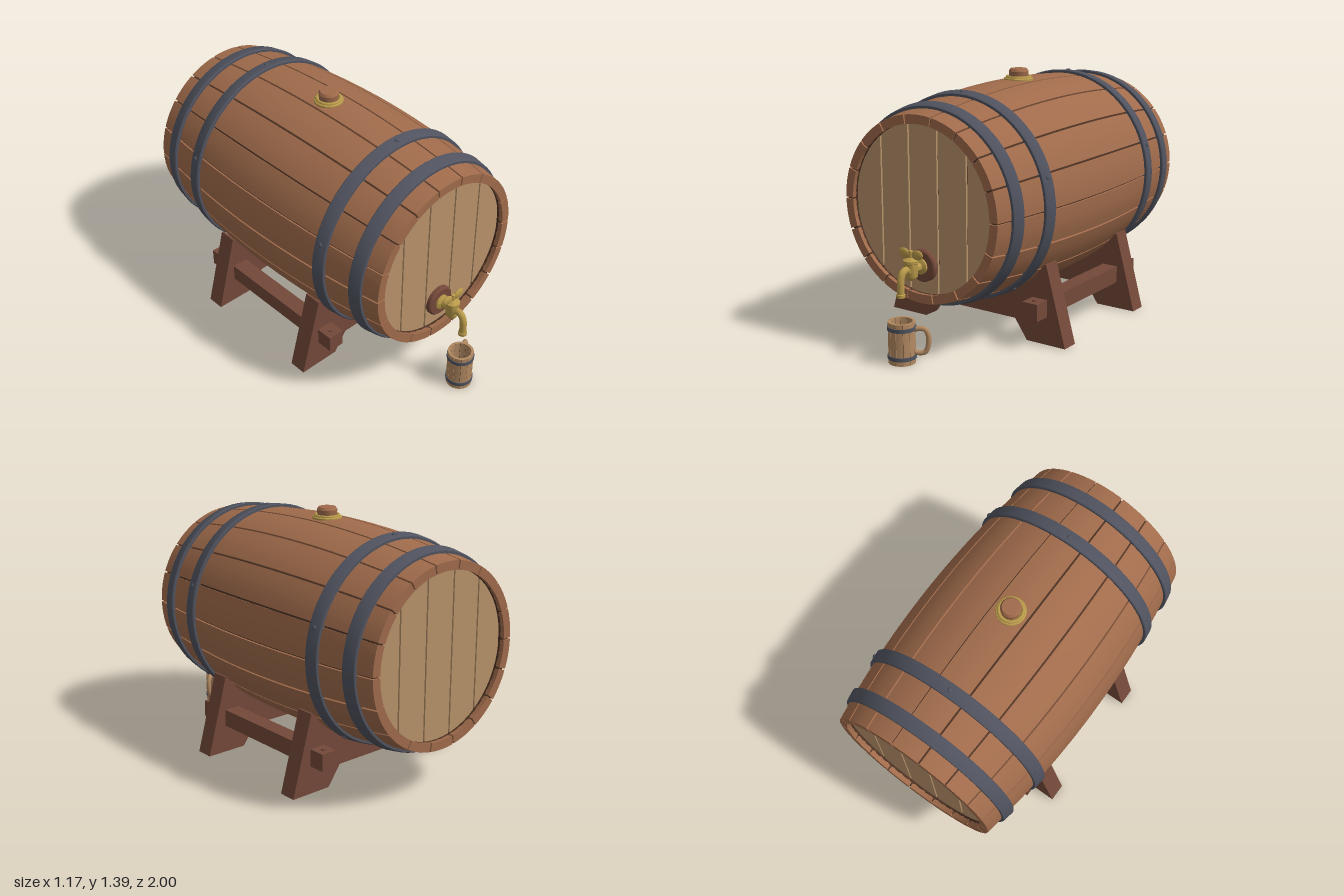
import * as THREE from 'three';
import { toCreasedNormals } from 'three/addons/utils/BufferGeometryUtils.js';

const AXIS_Y = 0.763, MID_Z = -0.1125, HALF = 0.8875;
const barrelRadius = (d) => 0.566 - 0.076 * (d / HALF) ** 2;

function material(name, color) {
  const m = new THREE.MeshStandardMaterial({ color });
  m.name = name;
  return m;
}

function add(parent, name, geometry, mat, x = 0, y = 0, z = 0) {
  const mesh = new THREE.Mesh(geometry, mat);
  mesh.name = name;
  mesh.position.set(x, y, z);
  parent.add(mesh);
  return mesh;
}

// Box bent around the z axis: x becomes angle, y becomes radius
function bentBox(angle, span, inner, outer, length, segA, segZ) {
  const g = new THREE.BoxGeometry(1, 1, 1, segA, 1, segZ);
  const p = g.attributes.position;
  for (let i = 0; i < p.count; i++) {
    const a = angle + p.getX(i) * span;
    const z = p.getZ(i) * length;
    const r = p.getY(i) > 0 ? outer(z) : inner(z);
    p.setXYZ(i, Math.sin(a) * r, Math.cos(a) * r, z);
  }
  g.computeVertexNormals();
  return g;
}

// Lathe with crisp edges; points run counter-clockwise as [radius, height]
function turned(points, sides = 32) {
  const g = new THREE.LatheGeometry(points.map(([r, h]) => new THREE.Vector2(r, h)), sides);
  return toCreasedNormals(g, 0.6);
}

const alongZ = (g) => g.rotateX(Math.PI / 2);

function tube(points, radius, segments = 28) {
  const curve = new THREE.CatmullRomCurve3(points.map((p) => new THREE.Vector3(...p)));
  return new THREE.TubeGeometry(curve, segments, radius, 14);
}

// One head board: a strip of a disc between two x values
function boardGeometry(x0, x1, radius, depth) {
  const s = new THREE.Shape();
  const n = 14;
  for (let i = 0; i <= n; i++) {
    const x = x0 + ((x1 - x0) * i) / n;
    const y = -Math.sqrt(Math.max(0, radius * radius - x * x));
    if (i) s.lineTo(x, y); else s.moveTo(x, y);
  }
  for (let i = n; i >= 0; i--) {
    const x = x0 + ((x1 - x0) * i) / n;
    s.lineTo(x, Math.sqrt(Math.max(0, radius * radius - x * x)));
  }
  return new THREE.ExtrudeGeometry(s, { depth, bevelEnabled: false });
}

export function createModel() {
  const model = new THREE.Group();
  model.name = 'barrelOnStand';
  const stave = material('stave wood', 0xa06b4b);
  const dark = material('dark gap', 0x4a3022);
  const head = material('head wood', 0xb8926a);
  const iron = material('hoop iron', 0x50535f);
  const stand = material('stand wood', 0x74493a);
  const brass = material('brass', 0xb8994a);
  const mugWood = material('mug wood', 0xb38a62);

  // Barrel body: staves over a dark liner
  const barrel = new THREE.Group();
  barrel.name = 'barrel';
  barrel.position.set(0, AXIS_Y, MID_Z);
  model.add(barrel);
  const step = Math.PI / 9;
  for (let i = 0; i < 18; i++) {
    add(barrel, 'stave', bentBox(i * step, step - 0.019,
      (z) => barrelRadius(z) - 0.048, barrelRadius, HALF * 2, 5, 20), stave);
  }
  const liner = [];
  for (let i = 0; i <= 16; i++) {
    const z = -0.878 + (1.756 * i) / 16;
    liner.push([barrelRadius(z) - 0.012, z]);
  }
  add(barrel, 'liner', alongZ(turned([[0.447, -0.878], ...liner, [0.447, 0.878], [0.447, -0.878]], 54)), dark);

  // Heads: five boards each, set back inside the staves
  for (const side of [1, -1]) {
    const group = new THREE.Group();
    group.name = side > 0 ? 'frontHead' : 'backHead';
    if (side < 0) group.rotation.y = Math.PI;
    barrel.add(group);
    add(group, 'headBacking', alongZ(new THREE.CylinderGeometry(0.45, 0.45, 0.02, 48)), dark, 0, 0, 0.825);
    const edges = [-0.449, -0.275, -0.092, 0.092, 0.275, 0.449];
    for (let i = 0; i < 5; i++) {
      add(group, 'headBoard', boardGeometry(edges[i] + 0.005, edges[i + 1] - 0.005, 0.449, 0.025),
        head, 0, 0, 0.822);
    }
  }

  // Hoops, with five rivets on each inner one
  for (const z of [0.7525, 0.5125, -0.5125, -0.7525]) {
    const h = 0.0375;
    const a = barrelRadius(z - h), b = barrelRadius(z + h);
    add(barrel, 'hoop', alongZ(turned([[a - 0.01, z - h], [a + 0.013, z - h], [a + 0.018, z - h + 0.006],
      [b + 0.018, z + h - 0.006], [b + 0.013, z + h], [b - 0.01, z + h]], 72)), iron);
    if (Math.abs(z) > 0.6) continue;
    for (let i = 0; i < 5; i++) {
      const t = (i * Math.PI * 2) / 5, r = barrelRadius(z) + 0.018;
      const rivet = add(barrel, 'rivet', new THREE.SphereGeometry(0.013, 12, 8), iron,
        Math.sin(t) * r, Math.cos(t) * r, z);
      rivet.rotation.z = -t;
      rivet.scale.y = 0.6;
    }
  }

  // Bung with brass collar
  add(model, 'bungCollar', turned([[0, 1.315], [0.08, 1.315], [0.08, 1.333], [0.074, 1.338], [0, 1.338]]), brass, 0, 0, MID_Z);
  add(model, 'bungRing', new THREE.TorusGeometry(0.063, 0.009, 10, 32).rotateX(Math.PI / 2), brass, 0, 1.339, MID_Z);
  add(model, 'bungPlug', turned([[0, 1.32], [0.05, 1.32], [0.055, 1.372], [0.046, 1.386], [0, 1.387]]), stave, 0, 0, MID_Z);

  // Tap
  const tap = new THREE.Group();
  tap.name = 'tap';
  tap.position.set(0, 0.468, 0);
  model.add(tap);
  add(tap, 'tapPlate', alongZ(turned([[0, 0.73], [0.086, 0.73], [0.086, 0.755], [0.078, 0.763], [0, 0.763]])), stand);
  add(tap, 'tapPipe', alongZ(turned([[0, 0.76], [0.042, 0.76], [0.042, 0.773], [0.023, 0.782],
    [0.023, 0.88], [0, 0.88]], 24)), brass);
  add(tap, 'valveBody', turned([[0, -0.052], [0.022, -0.052], [0.034, -0.035], [0.036, 0.035], [0.04, 0.038],
    [0.04, 0.052], [0.02, 0.06], [0.011, 0.066], [0.011, 0.1], [0, 0.106]], 24), brass, 0, 0, 0.842);
  for (const side of [-1, 1]) {
    const wing = add(tap, 'handleWing', new THREE.SphereGeometry(1, 20, 14), brass, side * 0.042, 0.084, 0.842);
    wing.scale.set(0.036, 0.026, 0.011);
    wing.rotation.z = side * 0.15;
  }
  add(tap, 'spout', tube([[0, 0, 0.85], [0, 0.008, 0.885], [0, -0.002, 0.91], [0, -0.035, 0.924],
    [0, -0.08, 0.926], [0, -0.12, 0.926]], 0.019), brass);
  add(tap, 'spoutTip', turned([[0, -0.124], [0.023, -0.124], [0.023, -0.108], [0.018, -0.104]], 20), brass, 0, 0, 0.926);

  // Stand: two cradle plates joined by two rails
  const shape = new THREE.Shape();
  const outline = [[-0.585, 0], [-0.345, 0], [-0.268, 0.11], [0.268, 0.11], [0.345, 0], [0.585, 0], [0.464, 0.44]];
  outline.forEach(([x, y], i) => (i ? shape.lineTo(x, y) : shape.moveTo(x, y)));
  const reach = Math.asin((AXIS_Y - 0.44) / 0.556);
  for (let i = 0; i <= 32; i++) {
    const t = -reach - ((Math.PI - 2 * reach) * i) / 32;
    shape.lineTo(Math.cos(t) * 0.556, AXIS_Y + Math.sin(t) * 0.556);
  }
  shape.lineTo(-0.464, 0.44);
  for (const z of [0.255, -0.475]) {
    add(model, 'cradlePlate', new THREE.ExtrudeGeometry(shape, { depth: 0.1, bevelEnabled: false }),
      stand, 0, 0, z - 0.05);
  }
  for (const x of [-0.425, 0.425]) {
    add(model, 'rail', new THREE.BoxGeometry(0.092, 0.095, 1.02), stand, x, 0.202, -0.11);
    for (const z of [0.355, -0.575]) {
      add(model, 'railPeg', new THREE.CylinderGeometry(0.013, 0.013, 0.014, 12), stand, x, 0.25, z);
    }
  }

  // Mug
  const mug = new THREE.Group();
  mug.name = 'mug';
  mug.position.set(0, 0, 0.925);
  mug.rotation.y = Math.PI / 6;
  model.add(mug);
  for (let i = 0; i < 12; i++) {
    const g = bentBox((i * Math.PI) / 6, Math.PI / 6 - 0.025, () => 0.056, () => 0.07, 0.22, 2, 1);
    add(mug, 'mugStave', g.rotateX(-Math.PI / 2), mugWood, 0, 0.11, 0);
  }
  add(mug, 'mugLiner', turned([[0.058, 0.004], [0.067, 0.004], [0.067, 0.216], [0.058, 0.216], [0.058, 0.004]]), dark);
  add(mug, 'mugBase', new THREE.CylinderGeometry(0.06, 0.06, 0.02, 24), mugWood, 0, 0.014, 0);
  add(mug, 'mugFloor', new THREE.CylinderGeometry(0.057, 0.057, 0.006, 24), stand, 0, 0.027, 0);
  for (const y of [0.035, 0.187]) {
    add(mug, 'mugBand', turned([[0.066, y - 0.01], [0.074, y - 0.01], [0.074, y + 0.01], [0.066, y + 0.01]]), iron);
  }
  add(mug, 'mugHandle', tube([[0.06, 0.175, 0], [0.09, 0.183, 0], [0.12, 0.178, 0], [0.135, 0.15, 0],
    [0.136, 0.1, 0], [0.122, 0.062, 0], [0.095, 0.052, 0], [0.06, 0.058, 0]], 0.0135, 36), mugWood);

  return model;
}
